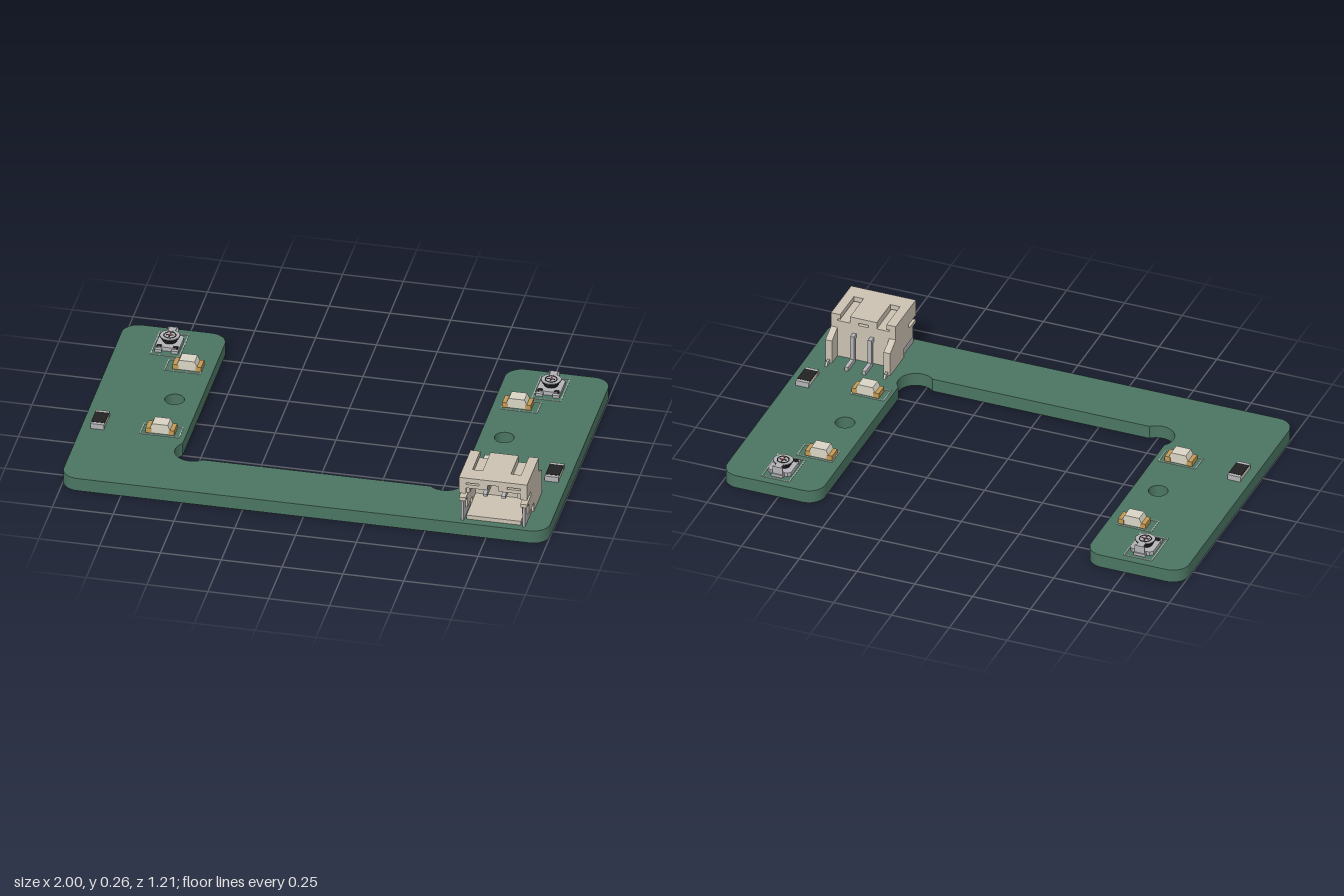
import * as THREE from 'three';

const mat = (color) => new THREE.MeshStandardMaterial({ color });
const GREEN = mat(0x4b7562), CREAM = mat(0xcbc2b2), METAL = mat(0xb4b4b8), BLACK = mat(0x222222);
const GOLD = mat(0xc39a55), LENS = mat(0xd9d4c4), SILK = mat(0xb9c2bb), RED = mat(0xb05050);
const TOP = 0.057;

function add(parent, name, geometry, material, x = 0, y = 0, z = 0) {
  const mesh = new THREE.Mesh(geometry, material);
  mesh.name = name;
  mesh.position.set(x, y, z);
  parent.add(mesh);
  return mesh;
}

// box given by its limits on each axis
function box(parent, name, material, x0, x1, y0, y1, z0, z1) {
  return add(parent, name, new THREE.BoxGeometry(x1 - x0, y1 - y0, z1 - z0), material,
    (x0 + x1) / 2, (y0 + y1) / 2, (z0 + z1) / 2);
}

const polygon = (points) => new THREE.Shape(points.map(([a, b]) => new THREE.Vector2(a, b)));
const extrude = (shape, depth) =>
  new THREE.ExtrudeGeometry(shape, { depth, bevelEnabled: false, curveSegments: 16 });

// slab from a plan outline drawn with y = -z
const slab = (shape, height) => extrude(shape, height).rotateX(-Math.PI / 2);
// plate from a side outline (z, y), thick along x from 0 to depth
const sidePlate = (points, depth) =>
  extrude(polygon(points), depth).rotateY(-Math.PI / 2).translate(depth, 0, 0);

function makeBoard() {
  const s = new THREE.Shape(), r = 0.07, e = 0.605, P = Math.PI;
  s.absarc(-1 + r, -e + r, r, P, 1.5 * P);
  s.absarc(1 - r, -e + r, r, 1.5 * P, 2 * P);
  s.absarc(1 - r, e - r, r, 0, P / 2);
  s.absarc(0.575 + r, e - r, r, P / 2, P);
  // relief circles in the inner corners
  const a = Math.atan2(0.051, 0.055), b = Math.atan2(-0.055, -0.051);
  s.absarc(0.52, -0.3, 0.075, a, b, true);
  s.absarc(-0.52, -0.3, 0.075, P - b, P - a, true);
  s.absarc(-0.575 - r, e - r, r, 0, P / 2);
  s.absarc(-1 + r, e - r, r, P / 2, P);
  for (const x of [-0.68, 0.675]) {
    const hole = new THREE.Path();
    hole.absarc(x, 0.075, 0.04, 0, 2 * P, true);
    s.holes.push(hole);
  }
  return slab(s, TOP);
}

// thin printed rectangle around a part
function outline(parent, x0, x1, z0, z1) {
  const t = 0.004;
  const s = polygon([[x0, -z1], [x1, -z1], [x1, -z0], [x0, -z0]]);
  s.holes.push(polygon([[x0 + t, -z1 + t], [x0 + t, -z0 - t], [x1 - t, -z0 - t], [x1 - t, -z1 + t]]));
  add(parent, 'printedOutline', slab(s, 0.002), SILK, 0, TOP, 0);
}

function makeLed(x, z) {
  const g = new THREE.Group();
  g.name = 'led';
  g.position.set(x, TOP, z);
  box(g, 'ledBase', LENS, -0.035, 0.035, 0, 0.021, -0.027, 0.027);
  for (const s of [-1, 1])
    add(g, 'ledTerminal', new THREE.BoxGeometry(0.024, 0.022, 0.058), GOLD, s * 0.047, 0.011, 0);
  const lens = polygon([[-0.042, 0.021], [0.042, 0.021], [0.032, 0.044], [-0.032, 0.044]]);
  add(g, 'ledLens', extrude(lens, 0.056), LENS, 0, 0, -0.028);
  return g;
}

function makeResistor(x, z) {
  const g = new THREE.Group();
  g.name = 'resistor';
  g.position.set(x, TOP, z);
  box(g, 'resistorBody', LENS, -0.027, 0.027, 0.002, 0.02, -0.04, 0.04);
  box(g, 'resistorCoating', BLACK, -0.028, 0.028, 0.02, 0.024, -0.04, 0.04);
  for (const s of [-1, 1])
    add(g, 'resistorTerminal', new THREE.BoxGeometry(0.056, 0.023, 0.015), METAL, 0, 0.0115, s * 0.047);
  return g;
}

function makeTrimmer(x, z) {
  const g = new THREE.Group();
  g.name = 'trimmer';
  g.position.set(x, TOP, z);
  const c = 0.012;
  const plate = polygon([[-0.05 + c, -0.055], [0.05 - c, -0.055], [0.05, -0.055 + c], [0.05, 0.05 - c],
    [0.05 - c, 0.05], [-0.05 + c, 0.05], [-0.05, 0.05 - c], [-0.05, -0.055 + c]]);
  add(g, 'trimmerBase', slab(plate, 0.017), METAL);
  // rear terminal with its upright tab, and two front terminals
  box(g, 'rearTerminal', METAL, -0.025, 0.025, 0, 0.012, -0.068, -0.04);
  box(g, 'rearTab', METAL, -0.022, 0.022, 0.008, 0.044, -0.063, -0.058);
  box(g, 'topStrip', METAL, -0.015, 0.015, 0.041, 0.044, -0.06, -0.03);
  for (const s of [-1, 1]) {
    box(g, 'frontTerminal', METAL, s * 0.034 - 0.014, s * 0.034 + 0.014, 0, 0.012, 0.045, 0.07);
    box(g, 'cornerPad', BLACK, s * 0.034 - 0.01, s * 0.034 + 0.01, 0.012, 0.02, 0.04, 0.055);
  }
  // flared rotor, metal cap with crossed slots
  add(g, 'rotor', new THREE.CylinderGeometry(0.042, 0.028, 0.024, 24), BLACK, 0, 0.029, 0);
  add(g, 'rotorCap', new THREE.CylinderGeometry(0.04, 0.04, 0.003, 24), METAL, 0, 0.042, 0);
  add(g, 'rotorRing', new THREE.TorusGeometry(0.024, 0.002, 6, 24).rotateX(Math.PI / 2), BLACK, 0, 0.0435, 0);
  box(g, 'slotLong', BLACK, -0.016, 0.016, 0.042, 0.0445, -0.003, 0.003);
  box(g, 'slotShort', BLACK, -0.003, 0.003, 0.042, 0.0445, -0.016, 0.016);
  add(g, 'rotorCentre', new THREE.CylinderGeometry(0.006, 0.006, 0.003, 12), RED, 0, 0.0445, 0);
  return g;
}

function makeConnector() {
  const g = new THREE.Group();
  g.name = 'connector';
  g.position.x = 0.775;
  // side walls with front notches and sloping rear arms
  const wall = [[0.31, 0.06], [0.46, 0.06], [0.46, 0.1], [0.55, 0.1], [0.55, 0.15], [0.585, 0.15],
    [0.585, 0.165], [0.51, 0.165], [0.51, 0.185], [0.585, 0.185], [0.585, 0.258], [0.37, 0.258],
    [0.37, 0.195], [0.31, 0.165]];
  const tab = [[0.28, 0.058], [0.583, 0.058], [0.583, 0.148], [0.548, 0.148], [0.548, 0.102],
    [0.46, 0.102], [0.46, 0.075], [0.29, 0.075]];
  for (const s of [-1, 1]) {
    add(g, 'sideWall', sidePlate(wall, 0.028), CREAM, s * 0.126 - 0.014);
    add(g, 'solderTab', sidePlate(tab, 0.01), METAL, s * 0.126 - 0.005);
    box(g, 'innerRib', CREAM, s * 0.105 - 0.008, s * 0.105 + 0.008, 0.185, 0.215, 0.39, 0.575);
  }
  box(g, 'floor', CREAM, -0.112, 0.112, 0.06, 0.078, 0.37, 0.575);
  box(g, 'backWall', CREAM, -0.112, 0.112, 0.06, 0.225, 0.37, 0.4);
  // roof with two grooves open to the rear; a key slot runs under its middle
  for (const s of [-1, 1])
    box(g, 'roofPlate', CREAM, s * 0.069 - 0.046, s * 0.069 + 0.046, 0.212, 0.228, 0.37, 0.585);
  const roof = polygon([[-0.114, -0.585], [0.114, -0.585], [0.114, -0.37], [0.1, -0.37], [0.1, -0.515],
    [0.058, -0.515], [0.058, -0.37], [-0.058, -0.37], [-0.058, -0.515], [-0.1, -0.515], [-0.1, -0.37],
    [-0.114, -0.37]]);
  add(g, 'roof', slab(roof, 0.022), CREAM, 0, 0.236, 0);
  for (const s of [-1, 1])
    box(g, 'roofFiller', CREAM, s * 0.04 - 0.018, s * 0.04 + 0.018, 0.226, 0.238, 0.37, 0.585);
  // bent contact pins
  const pin = [[0.28, 0.058], [0.36, 0.058], [0.36, 0.165], [0.555, 0.165], [0.565, 0.17],
    [0.565, 0.18], [0.555, 0.184], [0.342, 0.184], [0.342, 0.076], [0.28, 0.076]];
  for (const s of [-1, 1]) add(g, 'pin', sidePlate(pin, 0.016), METAL, s * 0.038 - 0.008);
  return g;
}

export function createModel() {
  const model = new THREE.Group();
  model.name = 'circuitBoard';
  add(model, 'board', makeBoard(), GREEN);
  for (const s of [-1, 1]) {
    const x = s < 0 ? -0.68 : 0.675;
    model.add(makeLed(x, -0.33), makeLed(x, 0.17));
    model.add(makeResistor(s * 0.934, 0.162));
    model.add(makeTrimmer(s < 0 ? -0.79 : 0.777, -0.485));
  }
  // printed outlines: x range, z range
  const frames = [[-0.77, -0.62, -0.37, -0.285], [-0.76, -0.597, 0.13, 0.212], [0.612, 0.765, -0.37, -0.285],
    [0.59, 0.735, 0.13, 0.212], [-0.852, -0.73, -0.57, -0.393], [0.716, 0.838, -0.57, -0.393]];
  for (const f of frames) outline(model, ...f);
  model.add(makeConnector());
  return model;
}
